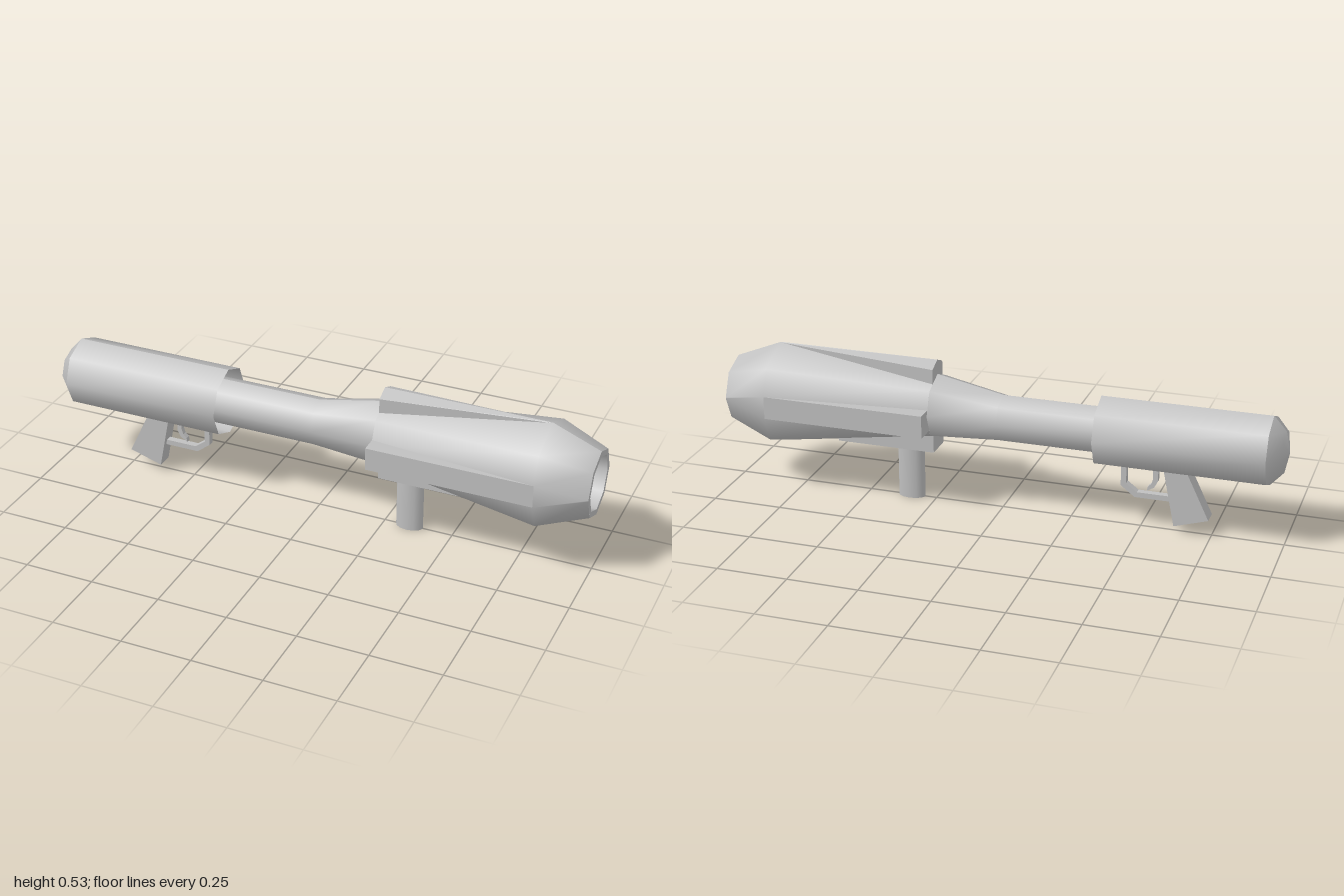
import * as THREE from 'three';

const AXIS = 0.338; // height of the barrel axis

// Octagonal ring with a corner on top
function ring(x, r, cy = AXIS) {
  return Array.from({ length: 9 }, (_, i) => {
    const a = (i * Math.PI) / 4;
    return [x, cy + r * Math.cos(a), r * Math.sin(a)];
  });
}

// The same ring with its side corners cut off to a flat of half height h at z = w
function cutRing(x, r, w, h, cy = AXIS) {
  const d = r * Math.SQRT1_2;
  const points = [[r, 0], [d, d], [h, w], [-h, w], [-d, d],
    [-r, 0], [-d, -d], [-h, -w], [h, -w], [d, -d], [r, 0]];
  return points.map(([y, z]) => [x, cy + y, z]);
}

// Skin between successive cross-sections
function loft(sections) {
  const n = sections[0].length, index = [];
  for (let i = 0; i < sections.length - 1; i++) {
    for (let j = 0; j < n - 1; j++) {
      const a = i * n + j, b = a + n;
      index.push(a, a + 1, b, a + 1, b + 1, b);
    }
  }
  const geo = new THREE.BufferGeometry();
  geo.setAttribute('position', new THREE.Float32BufferAttribute(sections.flat(2), 3));
  geo.setIndex(index);
  geo.computeVertexNormals();
  return geo;
}

// Flat-faced fin lofted between two [y, z] outlines, with a closed rear face
function fin(rear, front, x0, x1) {
  const close = (pts, x) => [...pts, pts[0]].map(([y, z]) => [x, y, z]);
  const mid = rear.reduce((s, p) => [s[0] + p[0] / rear.length, s[1] + p[1] / rear.length], [0, 0]);
  const geo = loft([close(rear.map(() => mid), x0), close(rear, x0), close(front, x1)]);
  const flat = geo.toNonIndexed();
  flat.computeVertexNormals();
  return flat;
}

// Flat side profile given thickness across z
function plate(points, width) {
  const shape = new THREE.Shape(points.map(([x, y]) => new THREE.Vector2(x, y)));
  const geo = new THREE.ExtrudeGeometry(shape, { depth: width, bevelEnabled: false });
  return geo.translate(0, 0, -width / 2);
}

export function createModel() {
  const group = new THREE.Group();
  const grey = new THREE.MeshStandardMaterial({ color: 0xbfbfbf, side: THREE.DoubleSide });
  grey.name = 'grey metal';
  const add = (name, geo) => {
    const mesh = new THREE.Mesh(geo, grey);
    mesh.name = name;
    group.add(mesh);
    return mesh;
  };

  // Rear sleeve, open at its front, with a domed end
  add('rearSleeve', loft([ring(-0.94, 0.125, 0.34), ring(-0.35, 0.125, 0.34)]));
  add('rearCap', loft([ring(-1, 0.001, 0.34), ring(-0.985, 0.075, 0.34), ring(-0.94, 0.125, 0.34)]));

  // Barrel flaring into the head, which narrows again to the muzzle
  add('barrel', loft([ring(-0.94, 0.085, 0.34), ring(0, 0.085, 0.34), ring(0.24, 0.117, 0.357)]));
  add('head', loft([
    cutRing(0.24, 0.117, 0.117, 0.005, 0.357),
    cutRing(0.83, 0.189, 0.17, 0.041),
    cutRing(1, 0.121, 0.121, 0.002, 0.337),
  ]));
  add('muzzleRim', loft([ring(1, 0.121, 0.337), ring(1, 0.1, 0.337)]));
  add('bore', loft([ring(1, 0.1, 0.337), ring(0.5, 0.095), ring(0.4, 0.06), ring(0.37, 0.001)]));

  // Four fins standing out behind the widest part of the head
  add('topFin', fin(
    [[0.527, 0], [0.506, 0.05], [0.4, 0.05], [0.4, -0.05], [0.506, -0.05]],
    [[0.527, 0], [0.525, 0.003], [0.45, 0.003], [0.45, -0.003], [0.525, -0.003]], 0.24, 0.82));
  const bottom = [[0.3, 0.05], [0.196, 0.05], [0.196, -0.05], [0.3, -0.05]];
  add('bottomFin', fin(bottom, bottom, 0.24, 0.6));
  for (const s of [1, -1]) {
    const side = [[0.379, 0.05], [0.379, 0.17], [0.297, 0.17], [0.297, 0.05]];
    const outline = s > 0 ? side : side.map(([y, z]) => [y, -z]).reverse();
    add(s > 0 ? 'frontSideFin' : 'backSideFin', fin(outline, outline, 0.24, 0.829));
  }

  // Oval front handle
  const handle = add('frontHandle', new THREE.CylinderGeometry(0.05, 0.05, 0.26, 12));
  handle.scale.z = 0.62;
  handle.position.set(0.342, 0.13, 0);

  // Pistol grip, trigger guard and trigger
  add('grip', plate([[-0.66, 0.235], [-0.742, 0.065], [-0.622, 0.028], [-0.58, 0.235]], 0.06));
  add('triggerGuard', plate([
    [-0.61, 0.11], [-0.478, 0.11], [-0.428, 0.148], [-0.428, 0.23],
    [-0.447, 0.23], [-0.447, 0.158], [-0.486, 0.129], [-0.61, 0.129],
  ], 0.024));
  add('trigger', plate([
    [-0.558, 0.23], [-0.558, 0.178], [-0.545, 0.153], [-0.52, 0.138],
    [-0.522, 0.152], [-0.535, 0.166], [-0.541, 0.185], [-0.538, 0.23],
  ], 0.018));

  return group;
}
